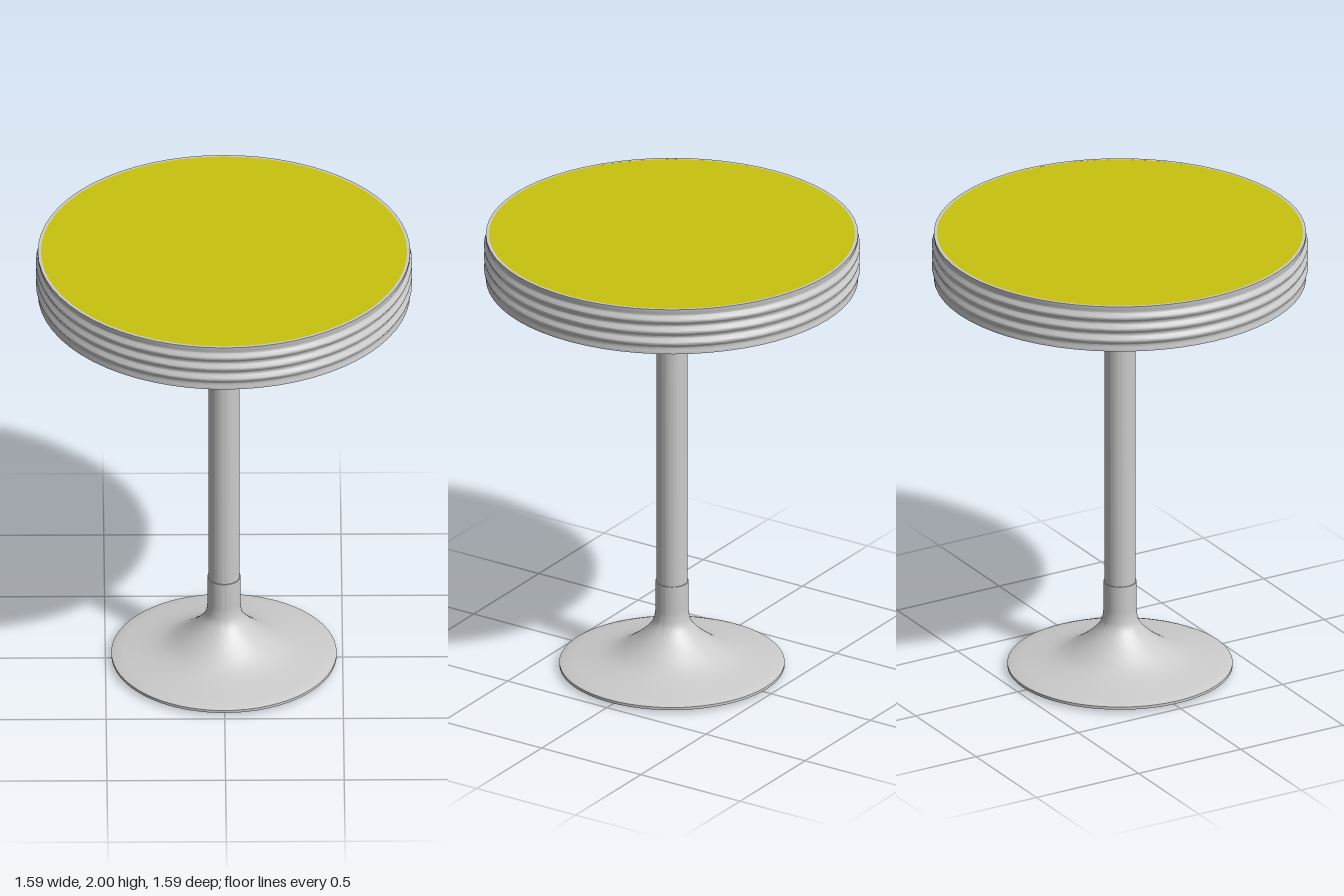
import * as THREE from 'three';
import { toCreasedNormals } from 'three/addons/utils/BufferGeometryUtils.js';

const SEGMENTS = 64;
const grey = new THREE.MeshStandardMaterial({ color: 0xcccccc });
const yellow = new THREE.MeshStandardMaterial({ color: 0xc8c20e });

// Turned part from a [radius, height] profile, listed from bottom to top
function turned(name, profile, material) {
  const points = profile.map(([r, y]) => new THREE.Vector2(r, y));
  const mesh = new THREE.Mesh(toCreasedNormals(new THREE.LatheGeometry(points, SEGMENTS), 0.7), material);
  mesh.name = name;
  return mesh;
}

// Smooth run of profile points through a few control points
function smooth(points, divisions) {
  const curve = new THREE.SplineCurve(points.map(([r, y]) => new THREE.Vector2(r, y)));
  return curve.getPoints(divisions).map((p) => [p.x, p.y]);
}

export function createModel() {
  const group = new THREE.Group();
  group.name = 'pedestalTable';

  // Flared foot with a shallow underside and a thin lip
  group.add(turned('base', [
    [0, 0], [0.26, 0.003], [0.465, 0.01], [0.475, 0.014], [0.475, 0.026],
    ...smooth([[0.455, 0.033], [0.27, 0.067], [0.165, 0.127], [0.09, 0.2], [0.072, 0.25], [0.07, 0.3]], 20),
    [0.07, 0.4], [0.065, 0.4],
  ], grey));

  // Straight post
  group.add(turned('column', [[0.066, 0.38], [0.066, 1.68]], grey));

  // Flared bracket under the top
  group.add(turned('topBracket', [
    [0.065, 1.645], [0.07, 1.645],
    ...smooth([[0.07, 1.67], [0.078, 1.715], [0.108, 1.757], [0.155, 1.795]], 14),
  ], grey));

  // Metal edge band with three rounded ridges
  const ridges = [];
  const steps = 30;
  for (let i = 0; i <= steps; i++) {
    const t = i / steps;
    ridges.push([0.781 + 0.006 * (1 - Math.cos(t * 6 * Math.PI)), 1.82 + 0.155 * t]);
  }
  group.add(turned('edgeBand', [
    [0.77, 1.795], [0.785, 1.795], [0.785, 1.81], ...ridges, [0.785, 1.985], [0.785, 2], [0.772, 2],
  ], grey));

  // Coloured table top, seen above and below
  const top = new THREE.Mesh(new THREE.CylinderGeometry(0.774, 0.774, 0.202, SEGMENTS), yellow);
  top.name = 'tableTop';
  top.position.y = 1.898;
  group.add(top);

  return group;
}
